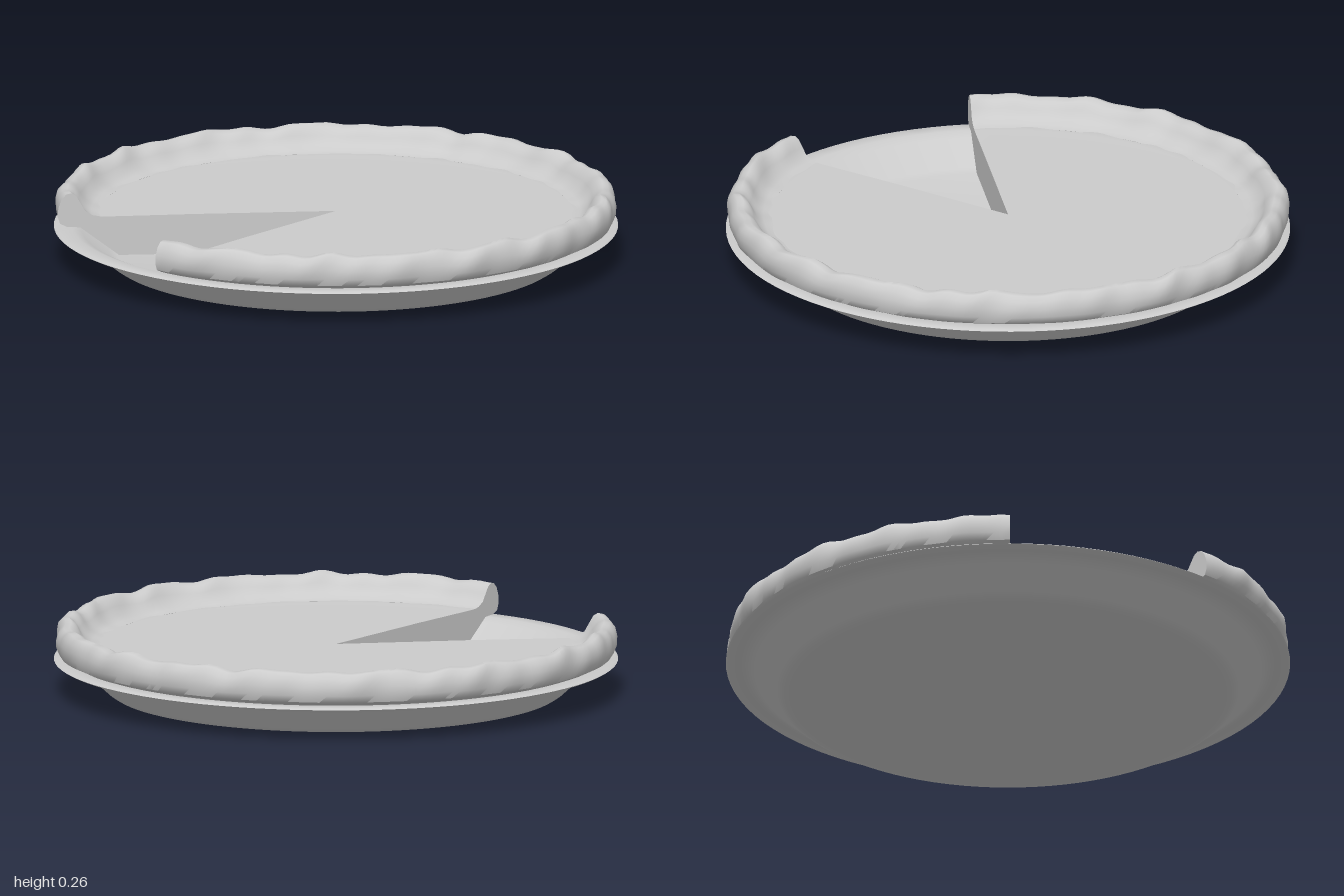
import * as THREE from 'three';
import { toCreasedNormals } from 'three/addons/utils/BufferGeometryUtils.js';

const START = -0.75 * Math.PI, END = Math.PI; // one eighth is cut out

// Sweeps a closed counterclockwise (radius, height) profile round the y axis and caps both cuts
function sweep(profile, segments, vary = (r, y) => [r, y]) {
  const n = profile.length, pos = [], idx = [];
  const rings = [];
  for (let j = 0; j <= segments; j++) {
    const a = START + (END - START) * j / segments;
    const ring = profile.map(([r, y], i) => vary(r, y, a, i));
    rings.push(ring);
    for (const [r, y] of ring) pos.push(r * Math.cos(a), y, r * Math.sin(a));
  }
  for (let j = 0; j < segments; j++) {
    for (let i = 0; i < n; i++) {
      const k = (i + 1) % n;
      const A = j * n + i, B = j * n + k, C = B + n, D = A + n;
      if (profile[i][0] > 0) idx.push(A, B, D);
      if (profile[k][0] > 0) idx.push(B, C, D);
    }
  }
  const cap = (j, flip) => {
    const pts = rings[j].map(([r, y]) => new THREE.Vector2(r, y));
    for (const [a, b, c] of THREE.ShapeUtils.triangulateShape(pts, [])) {
      const o = j * n;
      if (flip) idx.push(o + a, o + c, o + b);
      else idx.push(o + a, o + b, o + c);
    }
  };
  cap(0, true);
  cap(segments, false);
  const g = new THREE.BufferGeometry();
  g.setAttribute('position', new THREE.Float32BufferAttribute(pos, 3));
  g.setIndex(idx);
  return toCreasedNormals(g, 0.75);
}

// Irregular hand-pinched ripple, about -1 to 1
const ripple = (a, p) =>
  0.45 * Math.sin(17 * a + p + Math.sin(3 * a)) +
  0.35 * Math.sin(29 * a + 2.1 * p + 1.3 * Math.sin(5 * a)) +
  0.2 * Math.sin(43 * a + 0.7 * p);

export function createModel() {
  const group = new THREE.Group();
  const material = new THREE.MeshStandardMaterial({ color: 0xcccccc });
  const add = (name, geometry) => {
    const mesh = new THREE.Mesh(geometry, material);
    mesh.name = name;
    group.add(mesh);
  };

  // Pan: flat base, sloping wall, thin flat rim
  const panProfile = [
    [0, 0], [0.77, 0], [0.795, 0.005], [0.815, 0.018], [0.9, 0.095], [0.925, 0.111],
    [0.945, 0.116], [0.99, 0.116], [0.998, 0.121], [0.99, 0.126],
    [0.935, 0.126], [0.9, 0.112], [0.805, 0.034], [0.775, 0.024], [0, 0.024],
  ].map(([r, y]) => new THREE.Vector2(r, y));
  add('pan', toCreasedNormals(new THREE.LatheGeometry(panProfile, 96), 0.75));

  // Filling: a disc with a wedge missing
  add('filling', sweep([
    [0, 0.027], [0.77, 0.027], [0.9, 0.125], [0.93, 0.15],
    [0.88, 0.17], [0.82, 0.168], [0.5, 0.171], [0, 0.172],
  ], 84));

  // Crust: rippled, rounded edge sitting on the rim
  add('crust', sweep([
    [0.84, 0.155], [0.9, 0.13], [0.955, 0.133], [0.98, 0.145], [0.99, 0.17], [0.99, 0.2],
    [0.982, 0.228], [0.965, 0.246], [0.945, 0.25], [0.926, 0.24],
    [0.908, 0.215], [0.89, 0.188], [0.865, 0.173], [0.835, 0.168],
  ], 190, (r, y, a, i) => {
    const high = THREE.MathUtils.smoothstep(y, 0.14, 0.25);
    const outer = THREE.MathUtils.smoothstep(r, 0.85, 0.95);
    const dr = (0.003 + 0.008 * high) * outer * ripple(a, i * 0.22);
    return [Math.min(r + dr, 1), y + 0.011 * high * ripple(a, 2 + i * 0.12)];
  }));

  return group;
}
